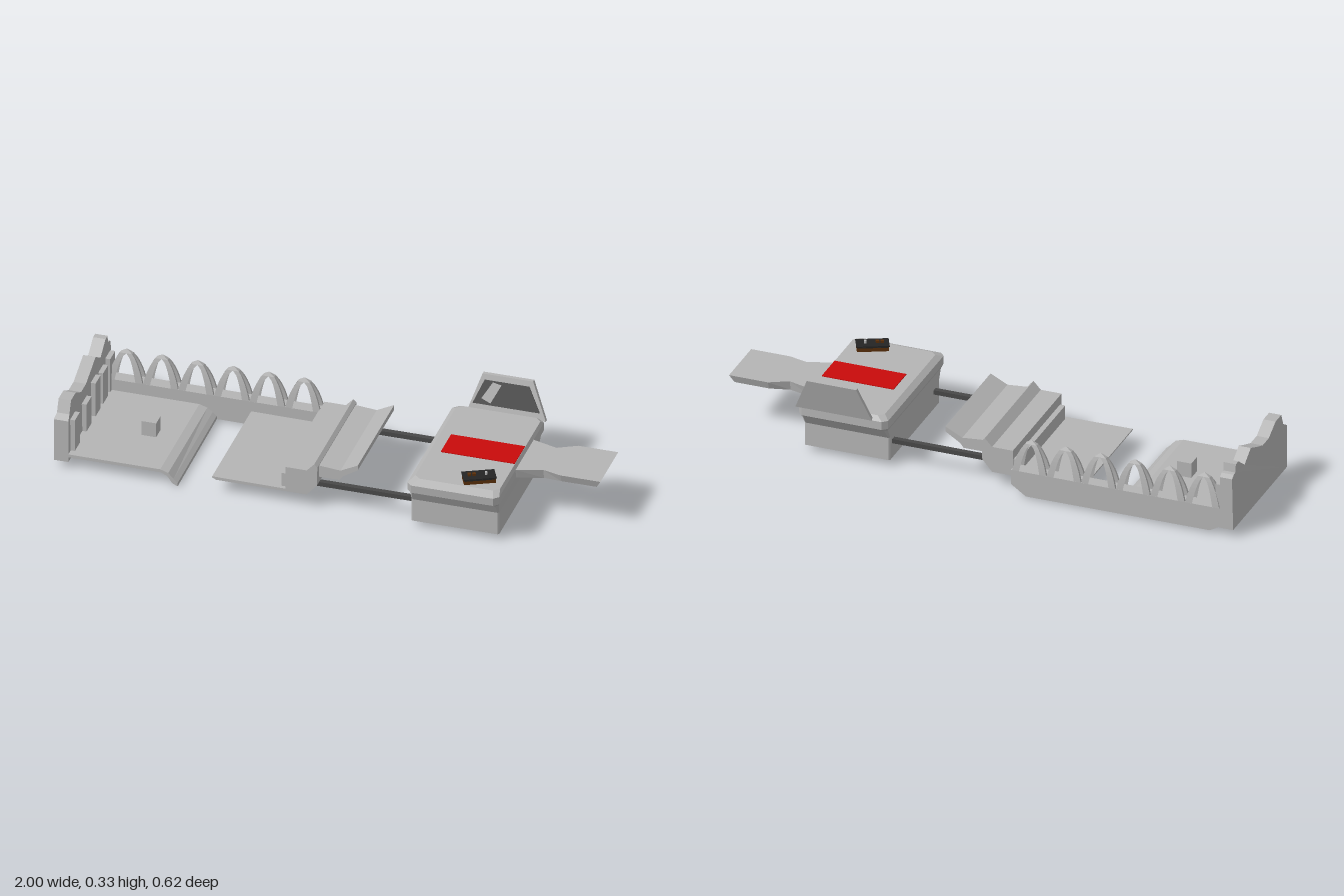
import * as THREE from 'three';

const mat = (name, color, side = THREE.FrontSide) => {
  const m = new THREE.MeshStandardMaterial({ color, side, flatShading: true });
  m.name = name;
  return m;
};

// Extrude an outline of [u, y] points by depth d along +z
function extrude(points, d) {
  const shape = new THREE.Shape(points.map(([x, y]) => new THREE.Vector2(x, y)));
  return new THREE.ExtrudeGeometry(shape, { depth: d, bevelEnabled: false });
}

// Move every vertex by a rule
function warp(geo, rule) {
  const p = geo.attributes.position, v = new THREE.Vector3();
  for (let i = 0; i < p.count; i++) {
    v.fromBufferAttribute(p, i);
    rule(v);
    p.setXYZ(i, v.x, v.y, v.z);
  }
  geo.computeVertexNormals();
  return geo;
}

// Stack chamfered rectangles [y, x0, x1, z0, z1, chamfer] into a closed hull
function loft(levels) {
  const rings = levels.map(([y, x0, x1, z0, z1, c]) => [
    [x1, z1 - c], [x1, z0 + c], [x1 - c, z0], [x0 + c, z0],
    [x0, z0 + c], [x0, z1 - c], [x0 + c, z1], [x1 - c, z1],
  ].map(([x, z]) => [x, y, z]));
  const pos = [], n = 8;
  const tri = (...t) => t.forEach((q) => pos.push(...q));
  for (let i = 0; i + 1 < rings.length; i++) {
    for (let j = 0; j < n; j++) {
      const k = (j + 1) % n, a = rings[i], b = rings[i + 1];
      tri(a[j], a[k], b[k]);
      tri(a[j], b[k], b[j]);
    }
  }
  const bottom = rings[0], top = rings[rings.length - 1];
  for (let j = 1; j + 1 < n; j++) {
    tri(top[0], top[j], top[j + 1]);
    tri(bottom[0], bottom[j + 1], bottom[j]);
  }
  const g = new THREE.BufferGeometry();
  g.setAttribute('position', new THREE.Float32BufferAttribute(pos, 3));
  g.computeVertexNormals();
  return g;
}

// Open pointed dome: four curved corner ribs with arched gaps between them
function domeGeometry(w, d, y0, h) {
  const pos = [], steps = 8;
  const section = (t, sx, sz) => {
    const s = Math.pow(1 - t, 0.62) * (1 + 0.25 * t);
    const gap = 0.6 * Math.sqrt(Math.max(0, 1 - t / 0.85));
    const y = y0 + h * t;
    return [
      [sx * w * Math.min(s, gap), y, sz * d * s],
      [sx * w * s, y, sz * d * s],
      [sx * w * s, y, sz * d * Math.min(s, gap)],
    ];
  };
  for (const sx of [-1, 1]) for (const sz of [-1, 1]) {
    for (let i = 0; i < steps; i++) {
      const a = section(i / steps, sx, sz), b = section((i + 1) / steps, sx, sz);
      for (let k = 0; k < 2; k++) {
        const quad = [a[k], a[k + 1], b[k + 1], b[k]];
        if (sx * sz < 0) quad.reverse();
        for (const q of [0, 1, 2, 0, 2, 3]) pos.push(...quad[q]);
      }
    }
  }
  const g = new THREE.BufferGeometry();
  g.setAttribute('position', new THREE.Float32BufferAttribute(pos, 3));
  g.computeVertexNormals();
  return g;
}

export function createModel() {
  const model = new THREE.Group();
  const stone = mat('light grey', 0xb4b4b4);
  const thinStone = mat('light grey thin', 0xb4b4b4, THREE.DoubleSide);
  const glass = mat('dark glass', 0x505050);
  const metal = mat('dark metal', 0x484848);
  const red = mat('red', 0xc80a0a);
  const wood = mat('dark wood', 0x5a2f0a);
  const black = mat('black', 0x242424);

  const add = (name, geo, material, parent = model) => {
    const m = new THREE.Mesh(geo, material);
    m.name = name;
    parent.add(m);
    return m;
  };
  const box = (name, x0, x1, y0, y1, z0, z1, material, parent) => {
    const g = new THREE.BoxGeometry(x1 - x0, y1 - y0, z1 - z0);
    g.translate((x0 + x1) / 2, (y0 + y1) / 2, (z0 + z1) / 2);
    return add(name, g, material, parent);
  };
  const profile = (name, pts, z0, z1) =>
    add(name, extrude(pts, z1 - z0).translate(0, 0, z0), stone);

  // Platform hull with flared rim
  add('platform', loft([
    [0.025, 0.345, 0.675, -0.222, 0.26, 0.005],
    [0.115, 0.345, 0.675, -0.222, 0.26, 0.005],
    [0.155, 0.345, 0.678, -0.25, 0.283, 0.01],
    [0.168, 0.34, 0.685, -0.268, 0.303, 0.018],
    [0.2, 0.34, 0.685, -0.268, 0.306, 0.018],
    [0.215, 0.36, 0.678, -0.25, 0.275, 0.02],
  ]), stone);

  // Boarding plank, waisted near the hull and narrower underneath
  const plank = extrude([
    [0.66, -0.1], [0.69, -0.092], [0.78, -0.062], [0.85, -0.08], [0.995, -0.08],
    [0.995, 0.135], [0.85, 0.135], [0.78, 0.098], [0.69, 0.125], [0.66, 0.145],
  ], 0.03).rotateX(-Math.PI / 2).translate(0, 0.17, 0);
  add('plank', warp(plank, (v) => {
    const low = v.y < 0.185;
    if (low) v.z = -0.025 + (v.z + 0.025) * 0.9;
    if (low && v.x > 0.9) v.x -= 0.012;
    if (!low && v.x > 0.99) v.x = 1;
    if (low && v.x < 0.8) v.y = 0.162;
  }), stone);

  // Leaning screen with dark pane and glint
  const lean = (v) => { v.z -= 0.3 * (v.y - 0.205); };
  const screenPart = (name, pts, z, d, m) =>
    add(name, warp(extrude(pts, d).translate(0, 0, z), lean), m);
  screenPart('screen', [[0.395, 0.2], [0.69, 0.2], [0.63, 0.335], [0.44, 0.335]], -0.272, 0.014, stone);
  screenPart('screenPane', [[0.413, 0.228], [0.665, 0.228], [0.618, 0.315], [0.45, 0.315]], -0.258, 0.003, glass);
  screenPart('screenGlint', [[0.445, 0.25], [0.48, 0.236], [0.515, 0.305], [0.482, 0.311]], -0.255, 0.002, stone);

  box('redMat', 0.4, 0.677, 0.213, 0.218, -0.047, 0.077, red);

  // Small case with black lid and trinkets
  const chest = new THREE.Group();
  chest.name = 'smallCase';
  chest.position.set(0.588, 0.21, 0.221);
  chest.rotation.y = 0.45;
  model.add(chest);
  box('caseBody', -0.058, 0.058, 0, 0.024, -0.027, 0.027, wood, chest);
  box('caseLid', -0.06, 0.06, 0.024, 0.028, -0.03, 0.03, black, chest);
  box('caseFrame', -0.056, 0.056, 0.02, 0.023, -0.029, 0.029, black, chest);
  for (const x of [-0.035, -0.018]) box('trinket', x - 0.006, x + 0.006, 0.028, 0.036, -0.006, 0.006, wood, chest);
  box('clasp', 0.022, 0.03, 0.028, 0.038, -0.005, 0.005, stone, chest);

  // Connecting rods
  for (const z of [-0.188, 0.214]) box('rod', -0.03, 0.348, 0.083, 0.1, z - 0.01, z + 0.01, metal);

  // Middle ramp: slab, riser and tilted ledge
  profile('slab', [[-0.405, 0.063], [-0.39, 0.056], [-0.12, 0.056], [-0.12, 0.066], [-0.405, 0.068]], -0.22, 0.25);
  profile('riser', [[-0.13, 0.056], [-0.05, 0.056], [-0.012, 0.1], [-0.01, 0.175], [-0.022, 0.187], [-0.05, 0.157], [-0.13, 0.157]], -0.222, 0.25);
  box('riserTrim', -0.15, -0.13, 0.06, 0.12, -0.215, 0.235, stone);
  profile('ledge', [[-0.012, 0.125], [0.065, 0.125], [0.078, 0.142], [0.135, 0.178], [0.135, 0.198], [0.07, 0.165], [-0.012, 0.172]], -0.21, 0.228);

  // Floor with a drooping lip
  const floor = extrude([
    [-0.95, 0.05], [-0.6, 0.05], [-0.575, 0.04], [-0.555, 0.012], [-0.535, 0.002],
    [-0.535, 0.016], [-0.55, 0.03], [-0.57, 0.052], [-0.6, 0.062], [-0.95, 0.062],
  ], 0.472);
  add('floor', warp(floor.translate(0, 0, -0.222), (v) => {
    if (v.x > -0.56) v.y += v.z < 0 ? 0.008 : 0;
  }), stone);
  box('cube', -0.735, -0.68, 0.06, 0.12, -0.012, 0.043, stone);

  // End wall with a jagged crest, thinner above
  const wall = extrude([
    [-0.25, 0.03], [0.272, 0.03], [0.272, 0.235], [0.255, 0.245], [0.24, 0.247],
    [0.235, 0.278], [0.21, 0.278], [0.15, 0.235], [0.09, 0.273], [0.04, 0.252],
    [-0.025, 0.227], [-0.085, 0.227], [-0.15, 0.262], [-0.205, 0.262], [-0.225, 0.215], [-0.25, 0.2],
  ], 0.055).rotateY(Math.PI / 2).translate(-1, 0, 0);
  add('endWall', warp(wall, (v) => {
    if (v.y > 0.21) v.x = -0.972 + (v.x + 0.972) * 0.85;
  }), stone);
  for (const [z, h] of [[-0.235, 0.2], [-0.15, 0.19], [-0.06, 0.2], [0.05, 0.175], [0.19, 0.19]])
    box('pilaster', -0.95, -0.93, 0.03, h, z - 0.03, z + 0.03, stone);

  // Rear rail carrying a row of open domes
  profile('rail', [[-0.95, 0.035], [-0.91, 0.012], [-0.2, 0.01], [-0.142, 0.05], [-0.142, 0.107], [-0.95, 0.107]], -0.272, -0.222);
  const dome = domeGeometry(0.066, 0.025, 0.105, 0.125);
  for (let i = 0; i < 6; i++) add('dome', dome, thinStone).position.set(-0.88 + i * 0.1335, 0, -0.247);

  return model;
}
